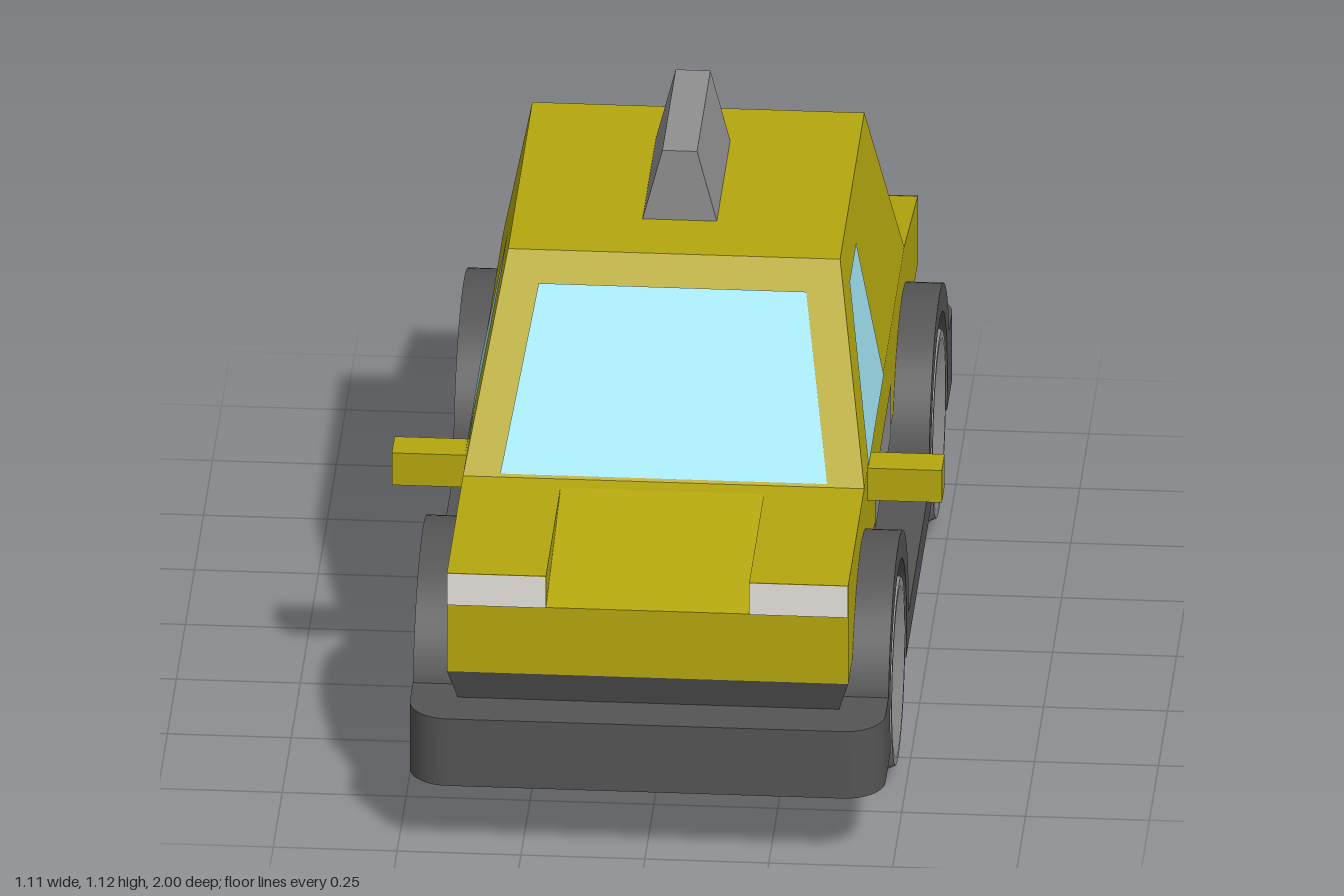
import * as THREE from 'three';
import { toCreasedNormals } from 'three/addons/utils/BufferGeometryUtils.js';

const mat = (color, side = THREE.FrontSide) => new THREE.MeshStandardMaterial({ color, side });

// Straight-edged shape from [z, y] points
const outline = (points) => new THREE.Shape(points.map(([z, y]) => new THREE.Vector2(z, y)));

// Side profile extruded from x0 to x1
function extrudeX(shape, x0, x1) {
  return new THREE.ExtrudeGeometry(shape, { depth: x1 - x0, bevelEnabled: false, curveSegments: 20 })
    .rotateY(-Math.PI / 2).translate(x1, 0, 0);
}

// Box whose bottom and top rectangles differ: { y, x: half width, back, front }
function frustum(bottom, top) {
  const g = new THREE.BoxGeometry(1, 1, 1);
  const p = g.attributes.position;
  for (let i = 0; i < p.count; i++) {
    const r = p.getY(i) > 0 ? top : bottom;
    p.setXYZ(i, Math.sign(p.getX(i)) * r.x, r.y, p.getZ(i) > 0 ? r.front : r.back);
  }
  g.computeVertexNormals();
  return g;
}

function box(x0, x1, y0, y1, z0, z1) {
  return new THREE.BoxGeometry(x1 - x0, y1 - y0, z1 - z0)
    .translate((x0 + x1) / 2, (y0 + y1) / 2, (z0 + z1) / 2);
}

// Flat four-cornered panel, anticlockwise from outside, lifted off its surface
function panel(corners) {
  const v = corners.map((c) => new THREE.Vector3(...c));
  const n = v[1].clone().sub(v[0]).cross(v[2].clone().sub(v[0])).normalize();
  const g = new THREE.BufferGeometry().setFromPoints(v.map((c) => c.addScaledVector(n, 0.003)));
  g.setIndex([0, 1, 2, 0, 2, 3]);
  g.computeVertexNormals();
  return g;
}
const mirrorCorners = (corners) => corners.map(([x, y, z]) => [-x, y, z]).reverse();

export function createModel() {
  const car = new THREE.Group();
  car.name = 'taxi';
  const paint = mat(0xb5a80f), dark = mat(0x555555), grey = mat(0x909090);
  const trim = mat(0x909090, THREE.DoubleSide), glass = mat(0xa0e4f2, THREE.DoubleSide);
  const white = mat(0xe8e4de, THREE.DoubleSide), red = mat(0xc47a70, THREE.DoubleSide);
  const add = (name, geometry, material) => {
    const mesh = new THREE.Mesh(geometry, material);
    mesh.name = name;
    car.add(mesh);
    return mesh;
  };

  // Lower body: flat wings either side of a hood that slopes to the nose
  const rear = [[-0.625, 0.59], [-1, 0.52], [-1, 0.37]];
  const hood = outline([[0.925, 0.37], [0.925, 0.52], [0.52, 0.59], ...rear]);
  const wing = outline([[0.925, 0.37], [0.925, 0.59], ...rear]);
  add('hoodAndTrunk', extrudeX(hood, -0.205, 0.205), paint);
  add('leftWing', extrudeX(wing, 0.205, 0.405), paint);
  add('rightWing', extrudeX(wing, -0.405, -0.205), paint);

  // Cabin and windows
  add('cabin', frustum({ y: 0.59, x: 0.405, back: -0.625, front: 0.48 },
    { y: 0.96, x: 0.335, back: -0.48, front: 0.19 }), paint);
  const sideX = (y) => 0.405 - (y - 0.59) * 0.07 / 0.37;
  const frontZ = (y) => 0.48 - (y - 0.59) * 0.29 / 0.37;
  const backZ = (y) => -0.625 + (y - 0.59) * 0.145 / 0.37;
  add('windshield', panel([[-0.33, 0.595, frontZ(0.595)], [0.33, 0.595, frontZ(0.595)],
    [0.27, 0.905, frontZ(0.905)], [-0.27, 0.905, frontZ(0.905)]]), glass);
  add('rearWindow', panel([[0.32, 0.64, backZ(0.64)], [-0.32, 0.64, backZ(0.64)],
    [-0.27, 0.89, backZ(0.89)], [0.27, 0.89, backZ(0.89)]]), glass);

  // Roof sign
  add('roofSign', frustum({ y: 0.96, x: 0.075, back: -0.335, front: 0.035 },
    { y: 1.115, x: 0.035, back: -0.335, front: 0.035 }), grey);

  // Undercarriage
  add('underbody', frustum({ y: 0.22, x: 0.362, back: -0.88, front: 0.87 },
    { y: 0.37, x: 0.405, back: -1, front: 0.925 }), dark);
  add('floor', box(-0.36, 0.36, 0.15, 0.24, -0.84, 0.84), dark);

  // Bumpers with rounded corners
  const plan = new THREE.Shape();
  plan.moveTo(-0.48, 0.84).lineTo(0.48, 0.84).lineTo(0.48, 0.92);
  plan.absarc(0.4, 0.92, 0.08, 0, Math.PI / 2, false);
  plan.absarc(-0.4, 0.92, 0.08, Math.PI / 2, Math.PI, false);
  plan.closePath();
  const bumper = toCreasedNormals(new THREE.ExtrudeGeometry(plan, { depth: 0.15, bevelEnabled: false, curveSegments: 8 })
    .rotateX(-Math.PI / 2).translate(0, 0.15, 0), 0.5);
  add('rearBumper', bumper, dark);
  add('frontBumper', bumper, dark).rotation.y = Math.PI;

  // Wheel arches joined by a low sill
  const axleY = 0.225, axleZ = 0.565, arch = 0.285, well = 0.228;
  const aIn = Math.asin(0.075 / well), aUp = Math.asin(0.075 / arch), aDown = Math.asin(0.005 / arch);
  const fender = new THREE.Shape();
  fender.moveTo(-0.84, 0.3).lineTo(-0.84, 0.15);
  fender.absarc(-axleZ, axleY, well, Math.PI + aIn, -aIn, true);
  fender.absarc(axleZ, axleY, well, Math.PI + aIn, -aIn, true);
  fender.lineTo(0.84, 0.15);
  fender.absarc(axleZ, axleY, arch, aUp, Math.PI + aDown, false);
  fender.absarc(-axleZ, axleY, arch, -aDown, Math.PI - aUp, false);
  fender.closePath();
  add('leftFender', toCreasedNormals(extrudeX(fender, 0.355, 0.48), 0.5), dark);
  add('rightFender', toCreasedNormals(extrudeX(fender, -0.48, -0.355), 0.5), dark);

  // Wheel: chamfered tyre, dished rim and recessed hub
  const wheelProfile = [[0, 0.26], [0.225, 0.26], [0.225, 0.405], [0.19, 0.48], [0.175, 0.48],
    [0.12, 0.46], [0.08, 0.46], [0.06, 0.43], [0, 0.43]].map(([r, a]) => new THREE.Vector2(r, a));
  const wheel = toCreasedNormals(new THREE.LatheGeometry(wheelProfile, 32).rotateZ(-Math.PI / 2), 0.3);

  // Parts repeated on both sides
  for (const s of [1, -1]) {
    const side = s > 0 ? 'left' : 'right';
    const sidePanel = (corners) => panel(s > 0 ? corners : mirrorCorners(corners));
    for (const z of [axleZ, -axleZ]) {
      const w = add(side + (z > 0 ? 'FrontWheel' : 'RearWheel'), wheel, grey);
      w.position.set(0, axleY, z);
      if (s < 0) w.rotation.y = Math.PI;
    }
    add(side + 'Window', sidePanel([[sideX(0.595), 0.595, 0.39], [sideX(0.595), 0.595, -0.03],
      [sideX(0.89), 0.89, -0.03], [sideX(0.89), 0.89, 0.15]]), glass);
    add(side + 'DoorTrim', sidePanel([[0.405, 0.37, 0.22], [0.405, 0.37, -0.22],
      [0.405, 0.485, -0.22], [0.405, 0.485, 0.22]]), trim);
    add(side + 'Headlight', sidePanel([[0.205, 0.52, 0.925], [0.405, 0.52, 0.925],
      [0.405, 0.59, 0.925], [0.205, 0.59, 0.925]]), white);
    add(side + 'TailLight', sidePanel([[0.405, 0.447, -1], [0.2, 0.447, -1],
      [0.2, 0.52, -1], [0.405, 0.52, -1]]), red);
    add(side + 'Mirror', box(0.4, 0.555, 0.52, 0.592, 0.315, 0.39).translate(s > 0 ? 0 : -0.955, 0, 0), paint);
    add(side + 'MirrorGlass', sidePanel([[0.55, 0.525, 0.315], [0.41, 0.525, 0.315],
      [0.41, 0.587, 0.315], [0.55, 0.587, 0.315]]), trim);
  }
  return car;
}
